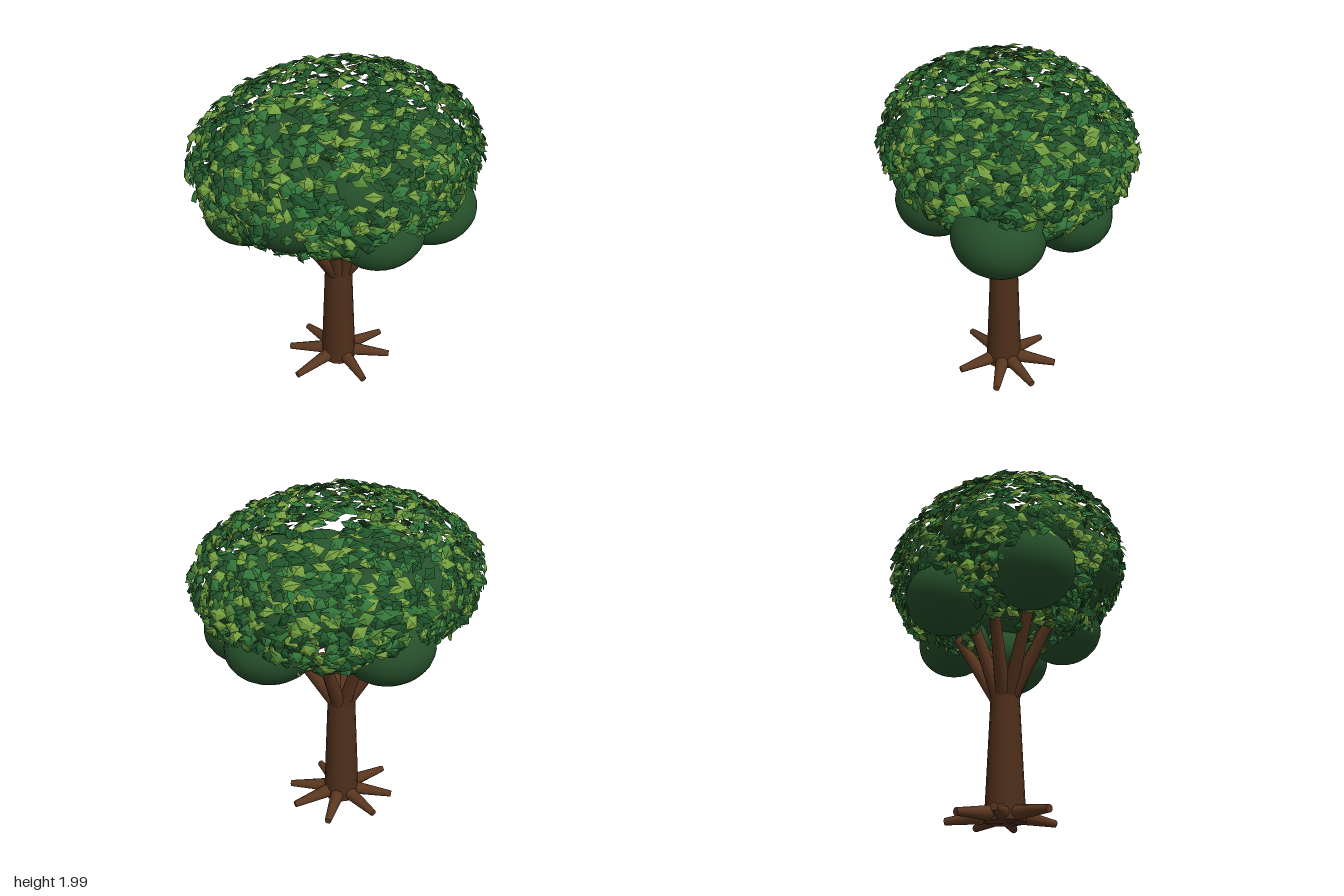
import * as THREE from 'three';

const material = (name, color, extra = {}) => {
  const m = new THREE.MeshStandardMaterial({ color, ...extra });
  m.name = name;
  return m;
};

// Small seeded generator for repeatable variation
function seeded(seed) {
  return () => {
    seed = (seed * 1664525 + 1013904223) >>> 0;
    return seed / 4294967296;
  };
}

// Tapered round limb running from one point to another
function limb(name, from, to, r0, r1, mat, sides = 10) {
  const dir = to.clone().sub(from);
  const mesh = new THREE.Mesh(new THREE.CylinderGeometry(r1, r0, dir.length(), sides), mat);
  mesh.position.copy(from).addScaledVector(dir, 0.5);
  mesh.quaternion.setFromUnitVectors(new THREE.Vector3(0, 1, 0), dir.normalize());
  mesh.name = name;
  return mesh;
}

// Point at a compass angle (degrees, x towards z), distance and height
const polar = (deg, r, y) => {
  const a = THREE.MathUtils.degToRad(deg);
  return new THREE.Vector3(Math.cos(a) * r, y, Math.sin(a) * r);
};

// Shell of folded diamond leaves, split into one mesh per green
function buildLeaves(mats) {
  const rand = seeded(71);
  const jitter = (s) => (rand() - 0.5) * s;
  const buckets = mats.map(() => []);
  const up = new THREE.Vector3(0, 1, 0);
  const count = 2500;
  for (let i = 0; i < count; i++) {
    const h = 0.99 - (1.97 * (i + rand())) / count;
    const ring = Math.sqrt(1 - h * h);
    const a = i * 2.39996 + jitter(0.5);
    const shell = 0.94 + rand() * 0.08;
    const center = new THREE.Vector3(
      Math.cos(a) * ring * 0.815 * shell, 1.5 + h * 0.485 * shell, Math.sin(a) * ring * 0.675 * shell);
    // Thin crown and open underside
    const fromAxis = Math.hypot(center.x, center.z);
    if (fromAxis < 0.17 && h > 0 && rand() < 0.5) continue;
    if (fromAxis < 0.32 && h < 0 && rand() < 0.65) continue;

    // Leaves face outwards with a slight lift
    const normal = new THREE.Vector3(Math.cos(a) * ring, h, Math.sin(a) * ring)
      .multiplyScalar(0.8).addScaledVector(up, 0.4)
      .add(new THREE.Vector3(jitter(0.8), jitter(0.5), jitter(0.8))).normalize();
    const tangent = new THREE.Vector3(-Math.sin(a), 0, Math.cos(a));
    const across = tangent.cross(normal).normalize();
    const along = across.clone().cross(normal).normalize();
    const spin = jitter(1.4);
    along.applyAxisAngle(normal, spin);
    across.applyAxisAngle(normal, spin);

    const len = 0.042 + rand() * 0.016, wide = 0.027 + rand() * 0.01;
    const at = (u, v, n) => center.clone()
      .addScaledVector(along, u * len).addScaledVector(across, v * wide).addScaledVector(normal, n);
    const rim = [at(1, 0, -0.005), at(0, -1, 0), at(-1, 0, -0.005), at(0, 1, 0)];
    const ridge = at(-0.1, 0, 0.011);
    const pick = rand();
    const bucket = buckets[[0.36, 0.64, 0.78, 1].findIndex((limit) => pick <= limit)];
    for (let k = 0; k < 4; k++) {
      const p = rim[k], q = rim[(k + 1) % 4];
      const facing = q.clone().sub(p).cross(ridge.clone().sub(p)).dot(normal) > 0;
      for (const v of facing ? [p, q, ridge] : [q, p, ridge]) bucket.push(v.x, v.y, v.z);
    }
  }
  const group = new THREE.Group();
  group.name = 'leaves';
  buckets.forEach((data, i) => {
    const geo = new THREE.BufferGeometry();
    geo.setAttribute('position', new THREE.Float32BufferAttribute(data, 3));
    geo.computeVertexNormals();
    const mesh = new THREE.Mesh(geo, mats[i]);
    mesh.name = mats[i].name + 'Set';
    group.add(mesh);
  });
  return group;
}

export function createModel() {
  const tree = new THREE.Group();
  tree.name = 'tree';
  const bark = material('bark', 0x4e2e1a);
  const limbBark = material('limbBark', 0x5a3720);
  const foliage = material('foliage', 0x26502b);
  const greens = [
    material('darkLeaf', 0x20532a, { side: THREE.DoubleSide }),
    material('midLeaf', 0x33753a, { side: THREE.DoubleSide }),
    material('freshLeaf', 0x4f8436, { side: THREE.DoubleSide }),
    material('lightLeaf', 0x74a040, { side: THREE.DoubleSide }),
  ];

  // Trunk
  tree.add(limb('trunk', new THREE.Vector3(-0.005, 0.01, 0), new THREE.Vector3(-0.005, 0.72, 0), 0.112, 0.083, bark, 16));

  // Roots spreading on the ground
  const roots = new THREE.Group();
  roots.name = 'roots';
  [306, 353, 32, 86, 165, 212, 253].forEach((deg, i) => {
    const reach = [0.33, 0.33, 0.33, 0.31, 0.355, 0.33, 0.32][i];
    roots.add(limb('root', polar(deg, 0.03, 0.055), polar(deg, reach, 0.03), 0.048, 0.02, limbBark));
  });
  tree.add(roots);

  // Branches fanning out from the trunk top
  const branches = new THREE.Group();
  branches.name = 'branches';
  [8, 42, 88, 128, 150, 178, 214, 258, 312].forEach((deg, i) => {
    const reach = [0.32, 0.36, 0.22, 0.26, 0.34, 0.33, 0.32, 0.24, 0.3][i];
    branches.add(limb('branch', polar(deg, 0.035, 0.69), polar(deg, reach, 1.13 + (i % 2) * 0.03), 0.044, 0.03, limbBark));
  });
  tree.add(branches);

  // Rounded foliage masses: x, y, z, radius
  const masses = new THREE.Group();
  masses.name = 'foliageMasses';
  [
    [0.47, 1.16, 0.24, 0.25], [0.035, 1.22, 0.42, 0.23], [0.46, 1.21, -0.16, 0.235],
    [-0.11, 1.21, -0.4, 0.24], [-0.51, 1.25, -0.06, 0.24],
    [-0.36, 1.41, 0.27, 0.28], [0.27, 1.46, 0.29, 0.25], [0.36, 1.45, -0.27, 0.27],
    [-0.34, 1.46, -0.27, 0.27], [0.5, 1.45, 0.04, 0.24], [-0.5, 1.45, 0.02, 0.24],
    [-0.03, 1.46, 0.36, 0.23], [0.02, 1.46, -0.38, 0.22],
  ].forEach(([x, y, z, r]) => {
    const mass = new THREE.Mesh(new THREE.SphereGeometry(r, 24, 16), foliage);
    mass.name = 'foliageMass';
    mass.position.set(x, y, z);
    mass.scale.set(1.08, 0.84, 0.97);
    masses.add(mass);
  });
  tree.add(masses);

  tree.add(buildLeaves(greens));
  return tree;
}
